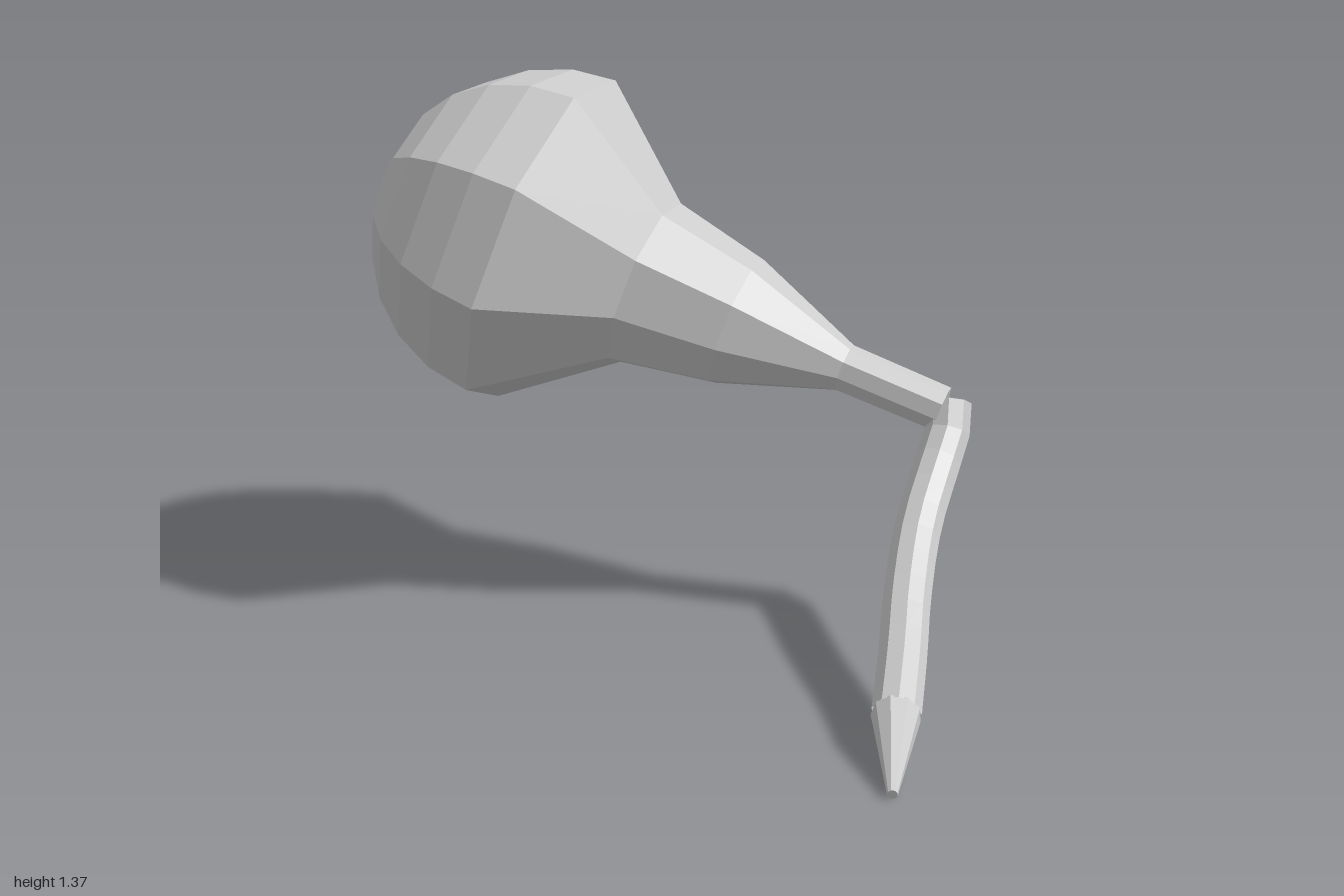
import * as THREE from 'three';

const SIDES = 9;
const v3 = (x, y, z) => new THREE.Vector3(x, y, z);

export function createModel() {
  const model = new THREE.Group();
  const mat = new THREE.MeshStandardMaterial({ color: 0xcccccc, flatShading: true, side: THREE.DoubleSide });
  const add = (name, geometry) => {
    const mesh = new THREE.Mesh(geometry, mat);
    mesh.name = name;
    model.add(mesh);
    return mesh;
  };

  // Gourd bulb: narrow neck flaring into a hemispherical end
  const neckEnd = v3(0.58, 0.58, 0.19);
  const axis = v3(-0.678, 0.326, -0.66).normalize();
  const R = 0.458, len = 1.12;
  const profile = [[0, 0], [0.06, 0], [0.063, 0.27], [0.175, 0.57], [0.227, 0.83]];
  for (let i = 0; i <= 6; i++) {
    const a = (i * Math.PI) / 12;
    profile.push([i === 6 ? 0 : R * Math.cos(a), len + R * Math.sin(a)]);
  }
  const bulb = add('bulb', new THREE.LatheGeometry(profile.map(([r, y]) => new THREE.Vector2(r, y)), SIDES));
  // one ridge of the nine runs along the underside
  const down = v3(0, -1, 0).addScaledVector(axis, axis.y).normalize();
  const side = axis.clone().cross(down);
  bulb.quaternion.setFromRotationMatrix(new THREE.Matrix4().makeBasis(side, axis, down));
  bulb.position.copy(neckEnd);

  // Curved pipe hanging from the neck
  const path = new THREE.CatmullRomCurve3([
    v3(0.6, 0.595, 0.19), v3(0.578, 0.53, 0.22), v3(0.515, 0.455, 0.268), v3(0.405, 0.35, 0.365),
    v3(0.285, 0.24, 0.51), v3(0.19, 0.158, 0.645), v3(0.088, 0.087, 0.785),
  ]);
  add('pipe', new THREE.TubeGeometry(path, 12, 0.058, SIDES, false));

  // Tapered mouthpiece
  const from = path.getPoint(1), tip = v3(-0.05, 0.013, 0.995);
  const dir = tip.clone().sub(from);
  const mouth = add('mouthpiece', new THREE.CylinderGeometry(0.012, 0.058, dir.length(), SIDES));
  mouth.position.copy(from).addScaledVector(dir, 0.5);
  mouth.quaternion.setFromUnitVectors(v3(0, 1, 0), dir.normalize());

  return model;
}
